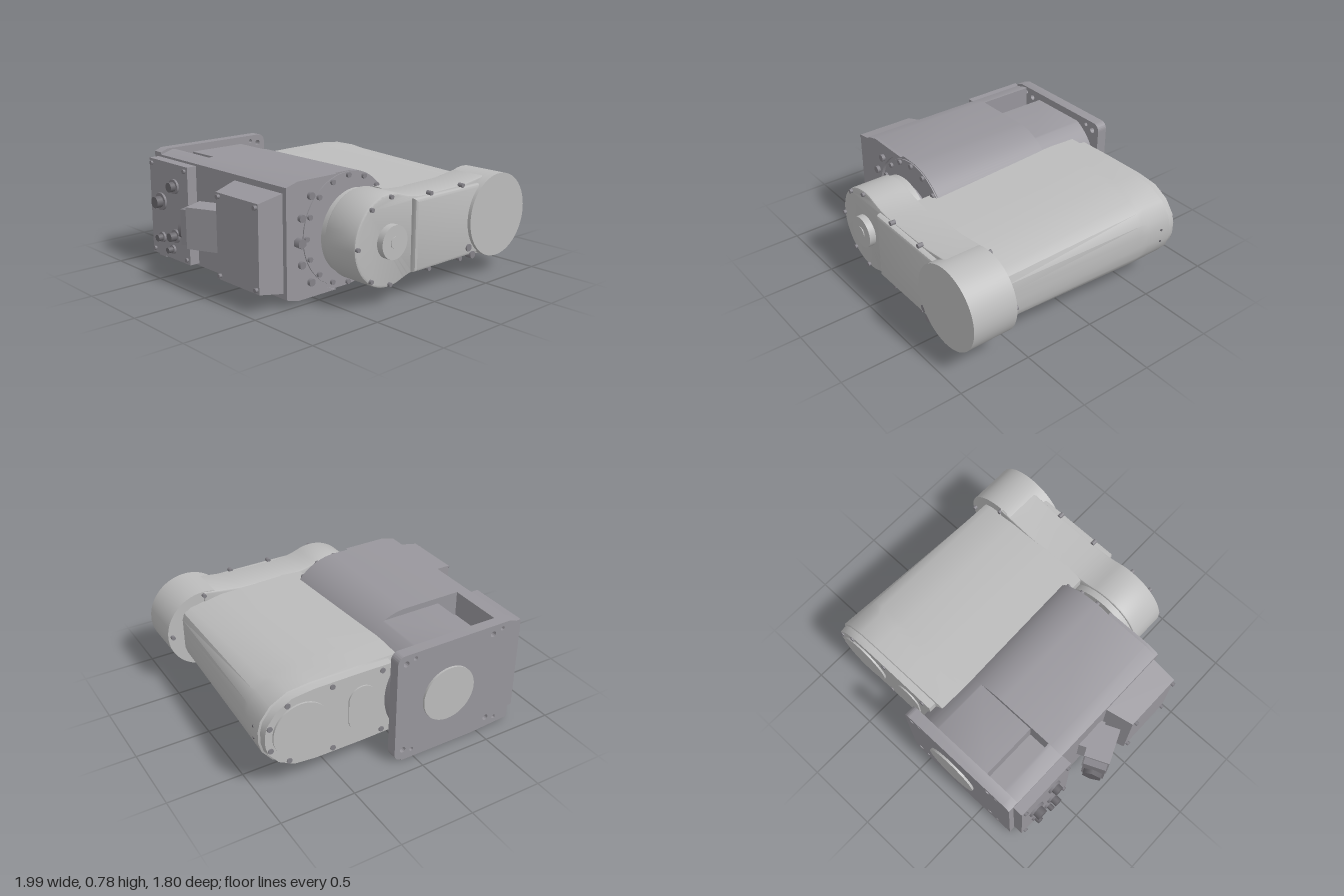
import * as THREE from 'three';
import { toCreasedNormals } from 'three/addons/utils/BufferGeometryUtils.js';

const CY = 0.4, BX = -0.24, BR = 0.37; // shared axis height, housing axis and radius

export function createModel() {
  const model = new THREE.Group();
  const mat = (name, color) => {
    const m = new THREE.MeshStandardMaterial({ color });
    m.name = name;
    return m;
  };
  const light = mat('light grey shell', 0xbcbcbc);
  const dark = mat('grey casting', 0x98969c);
  const bolt = mat('bolt grey', 0x848288);
  const black = mat('dark fitting', 0x6a686d);

  const add = (name, geo, m) => {
    const mesh = new THREE.Mesh(geo, m);
    mesh.name = name;
    model.add(mesh);
    return mesh;
  };
  const box = (name, m, x0, x1, y0, y1, z0, z1) => {
    const g = new THREE.BoxGeometry(x1 - x0, y1 - y0, z1 - z0);
    g.translate((x0 + x1) / 2, (y0 + y1) / 2, (z0 + z1) / 2);
    return add(name, g, m);
  };
  // Cylinder along z or along x
  const cylZ = (name, m, x, y, z0, z1, r, seg = 48, r2 = r) => {
    const g = new THREE.CylinderGeometry(r2, r, z1 - z0, seg);
    g.rotateX(Math.PI / 2);
    g.translate(x, y, (z0 + z1) / 2);
    return add(name, g, m);
  };
  const cylX = (name, m, x0, x1, y, z, r, seg = 20) => {
    const g = new THREE.CylinderGeometry(r, r, x1 - x0, seg);
    g.rotateZ(Math.PI / 2);
    g.translate((x0 + x1) / 2, y, z);
    return add(name, g, m);
  };
  const extrude = (name, m, shape, z0, z1, bevel = 0) => {
    const g = new THREE.ExtrudeGeometry(shape, {
      depth: z1 - z0 - bevel * 2, curveSegments: 32, bevelEnabled: bevel > 0,
      bevelSize: bevel, bevelThickness: bevel, bevelOffset: -bevel, bevelSegments: 2,
    });
    g.translate(0, 0, z0 + bevel);
    return add(name, toCreasedNormals(g, 0.5), m);
  };
  // Shape symmetric about the axis height: upper points run left to right as [x, offset]
  const mirrored = (pts, arcAngle) => {
    const s = new THREE.Shape();
    pts.forEach(([x, y], i) => (i ? s.lineTo(x, CY + y) : s.moveTo(x, CY + y)));
    if (arcAngle) s.absarc(BX, CY, BR, arcAngle, -arcAngle, true);
    [...pts].reverse().forEach(([x, y]) => s.lineTo(x, CY - y));
    return s;
  };

  // Base housing: D-shaped column, pocketed near the mounting flange
  extrude('housing', dark, mirrored([[-0.75, 0.345], [-0.66, 0.37]], Math.PI / 2), -0.42, 0.47);
  extrude('housingRear', dark, mirrored([[-0.75, 0.345], [-0.66, 0.37], [-0.64, 0.37], [-0.64, 0.2],
    [-0.49, 0.2], [-0.49, 0.33]], Math.asin(0.33 / BR)), -0.82, -0.42);
  const lip = new THREE.Shape();
  lip.moveTo(-0.75, 0.055);
  lip.lineTo(-0.66, 0.03);
  lip.lineTo(-0.345, 0.03);
  const a = Math.asin(0.37 / 0.385);
  lip.absarc(BX, CY, 0.385, Math.PI + a, Math.PI - a, true);
  lip.lineTo(-0.66, 0.77);
  lip.lineTo(-0.75, 0.745);
  extrude('housingFrontLip', dark, lip, 0.47, 0.492);
  box('undersidePlate', black, -0.46, -0.12, 0.055, 0.075, -0.76, -0.46);

  // Mounting flange with corner holes
  const flange = new THREE.Shape();
  const fr = 0.05;
  flange.moveTo(-0.75, 0.02);
  flange.lineTo(-0.45, 0.0);
  flange.lineTo(0.14 - fr, 0.0);
  flange.absarc(0.14 - fr, 0.01 + fr, fr, -Math.PI / 2, 0, false);
  flange.absarc(0.14 - fr, 0.78 - fr, fr, 0, Math.PI / 2, false);
  flange.lineTo(-0.7, 0.78);
  flange.lineTo(-0.75, 0.76);
  for (const s of [-1, 1]) for (const [x, y, r] of [[0.015, 0.34, 0.014], [0.08, 0.32, 0.02], [-0.57, 0.32, 0.02], [-0.64, 0.34, 0.014]]) {
    const h = new THREE.Path();
    h.absarc(x, CY + s * y, r, 0, Math.PI * 2, true);
    flange.holes.push(h);
  }
  extrude('mountingFlange', dark, flange, -0.89, -0.815);
  cylZ('flangeSpigot', light, -0.245, CY, -0.905, -0.88, 0.19);

  // Joint ring, neck and bolts on the housing front
  cylZ('jointRing', dark, BX, CY, 0.46, 0.478, 0.365, 64);
  cylZ('jointNeck', dark, BX, CY, 0.47, 0.55, 0.19);
  cylZ('jointCollar', light, BX, CY, 0.535, 0.59, 0.275, 64);
  for (let i = 0; i < 16; i++) {
    const t = (i / 16) * Math.PI * 2;
    cylZ('ringBolt', bolt, BX + 0.345 * Math.cos(t), CY + 0.345 * Math.sin(t), 0.47, 0.495, 0.017, 12);
  }
  cylZ('housingBolt', bolt, -0.665, CY, 0.48, 0.54, 0.033, 6);
  for (const s of [-1, 1]) for (const [x, y] of [[-0.64, 0.145], [-0.565, 0.27]])
    cylZ('housingBolt', bolt, x, CY + s * y, 0.48, 0.515, 0.024, 12);

  // Tapered side cover
  const cover = new THREE.BoxGeometry(1, 1, 1);
  const p = cover.attributes.position;
  for (let i = 0; i < p.count; i++) {
    const outer = p.getX(i) < 0;
    const half = outer ? 0.275 : 0.31;
    const z = p.getZ(i) > 0 ? (outer ? 0.455 : 0.46) : (outer ? 0.05 : 0);
    p.setXYZ(i, outer ? -0.93 : -0.745, 0.398 + Math.sign(p.getY(i)) * half, z);
  }
  cover.computeVertexNormals();
  add('sideCover', cover, dark);
  for (const y of [0.15, 0.65]) for (const z of [0.08, 0.435]) cylX('coverBolt', bolt, -0.95, -0.92, y, z, 0.014, 10);

  // Side connection panel and its sockets
  box('connectionPanel', dark, -0.82, -0.745, 0.07, 0.73, -0.85, -0.41);
  for (const [y, z, r, x] of [[0.45, -0.72, 0.06, -0.88], [0.58, -0.56, 0.05, -0.87],
    [0.2, -0.72, 0.035, -0.87], [0.24, -0.56, 0.045, -0.88], [0.14, -0.6, 0.03, -0.87]]) {
    cylX('socketFlange', bolt, -0.835, -0.81, y, z, r);
    cylX('socket', black, x, -0.83, y, z, r * 0.65);
  }
  for (const y of [0.1, 0.7]) for (const z of [-0.82, -0.44]) cylX('panelBolt', bolt, -0.835, -0.81, y, z, 0.014, 10);

  // Angled plug housing
  const plug = new THREE.Group();
  plug.name = 'anglePlug';
  const part = (name, m, w, h, d, x, z) => {
    const mesh = new THREE.Mesh(new THREE.BoxGeometry(w, h, d), m);
    mesh.name = name;
    mesh.position.set(x, 0, z);
    plug.add(mesh);
  };
  part('plugBody', dark, 0.17, 0.27, 0.24, 0, 0.02);
  part('plugFoot', dark, 0.16, 0.24, 0.2, 0.1, 0.06);
  part('plugHead', bolt, 0.15, 0.23, 0.05, 0, -0.12);
  const gland = new THREE.Mesh(new THREE.CylinderGeometry(0.07, 0.07, 0.04, 6), black);
  gland.name = 'plugGland';
  gland.rotation.x = Math.PI / 2;
  gland.position.set(0, -0.03, -0.155);
  plug.add(gland);
  plug.position.set(-0.86, CY, -0.15);
  plug.rotation.y = 0.42;
  model.add(plug);

  // Long arm: lofted half sections [x, offset] from front to back
  const sections = [
    [0.6, [[-0.02, 0.235], [0.3, 0.235], [0.6, 0.23], [0.82, 0.185], [0.87, 0.155], [0.885, 0.11], [0.885, 0.04]]],
    [-0.46, [[-0.02, 0.27], [0.3, 0.275], [0.6, 0.272], [0.81, 0.235], [0.89, 0.19], [0.935, 0.12], [0.945, 0.04]]],
    [-0.52, [[-0.02, 0.27], [0.3, 0.275], [0.62, 0.275], [0.77, 0.258], [0.88, 0.2], [0.943, 0.11], [0.955, 0.04]]],
    [-0.69, [[-0.02, 0.265], [0.3, 0.27], [0.62, 0.27], [0.77, 0.255], [0.885, 0.195], [0.952, 0.11], [0.97, 0.04]]],
    [-0.695, [[0.08, 0.255], [0.3, 0.26], [0.62, 0.26], [0.765, 0.245], [0.875, 0.187], [0.94, 0.105], [0.957, 0.04]]],
    [-0.745, [[0.08, 0.25], [0.3, 0.255], [0.62, 0.255], [0.765, 0.24], [0.87, 0.183], [0.935, 0.1], [0.952, 0.04]]],
  ];
  const n = 14, verts = [], idx = [];
  for (const [z, half] of sections) {
    half.forEach(([x, y]) => verts.push(x, CY + y, z));
    [...half].reverse().forEach(([x, y]) => verts.push(x, CY - y, z));
  }
  const last = (sections.length - 1) * n, c0 = sections.length * n;
  verts.push(0.4, CY, 0.6, 0.4, CY, -0.745);
  for (let i = 0; i < n; i++) {
    const j = (i + 1) % n;
    for (let k = 0; k < last; k += n) idx.push(k + i, k + j, k + n + i, k + j, k + n + j, k + n + i);
    idx.push(c0, j, i, c0 + 1, last + i, last + j);
  }
  const arm = new THREE.BufferGeometry();
  arm.setAttribute('position', new THREE.Float32BufferAttribute(verts, 3));
  arm.setIndex(idx);
  add('longArm', toCreasedNormals(arm, 0.55), light);
  cylZ('rearRoundCover', light, 0.715, CY, -0.758, -0.74, 0.19);
  const oval = new THREE.Shape();
  oval.absarc(0.295, CY + 0.065, 0.095, 0, Math.PI, false);
  oval.absarc(0.295, CY - 0.065, 0.095, Math.PI, Math.PI * 2, false);
  extrude('rearOvalCover', light, oval, -0.755, -0.74);
  for (const s of [-1, 1]) for (const [x, y] of [[0.15, 0.22], [0.5, 0.225], [0.8, 0.2], [0.92, 0.08]])
    cylZ('rearBolt', bolt, x, CY + s * y, -0.753, -0.74, 0.018, 12);
  for (const y of [0.355, 0.44]) cylX('sidePin', black, 0.95, 0.968, y, -0.62, 0.008, 8);

  // Front arm linking the two joints
  const link = new THREE.Shape();
  link.absarc(BX, CY, 0.29, 1.2, Math.PI * 2 - 1.2, false);
  link.bezierCurveTo(-0.05, 0.16, 0.0, 0.165, 0.12, 0.165);
  link.lineTo(0.45, 0.16);
  link.lineTo(0.72, 0.125);
  link.lineTo(0.72, 0.675);
  link.lineTo(0.45, 0.64);
  link.lineTo(0.12, 0.635);
  link.bezierCurveTo(0.0, 0.635, -0.05, 0.64, BX + 0.29 * Math.cos(1.2), CY + 0.29 * Math.sin(1.2));
  extrude('frontArm', light, link, 0.58, 0.84, 0.012);
  cylZ('elbowDrum', light, 0.722, CY, 0.59, 0.9, 0.278, 72);
  cylZ('pivotCap', light, BX, CY, 0.83, 0.885, 0.107);
  cylZ('pivotCentre', light, BX, CY, 0.88, 0.89, 0.038, 24);
  const panel = new THREE.Shape();
  panel.moveTo(-0.05, 0.165);
  panel.lineTo(0.56, 0.165);
  panel.lineTo(0.56, 0.63);
  panel.lineTo(-0.05, 0.63);
  extrude('frontPanel', light, panel, 0.82, 0.876, 0.02);
  for (const y of [0.155, 0.64]) for (const x of [0.1, 0.4]) cylZ('panelBolt', bolt, x, y, 0.83, 0.866, 0.015, 12);
  for (const [x, y] of [[0.46, 0.22], [0.5, 0.165]]) cylZ('drumBolt', bolt, x, y, 0.84, 0.885, 0.025, 12);
  for (const t of [1.57, 2.2, 3.14, 4.08, 4.71])
    cylZ('armBolt', bolt, BX + 0.272 * Math.cos(t), CY + 0.272 * Math.sin(t), 0.83, 0.858, 0.014, 12);
  for (const s of [-1, 1]) cylZ('drumRearBolt', bolt, 0.72, CY + s * 0.255, 0.565, 0.6, 0.014, 12);
  cylZ('drumRearBolt', bolt, 0.97, CY, 0.565, 0.6, 0.014, 12);
  return model;
}
